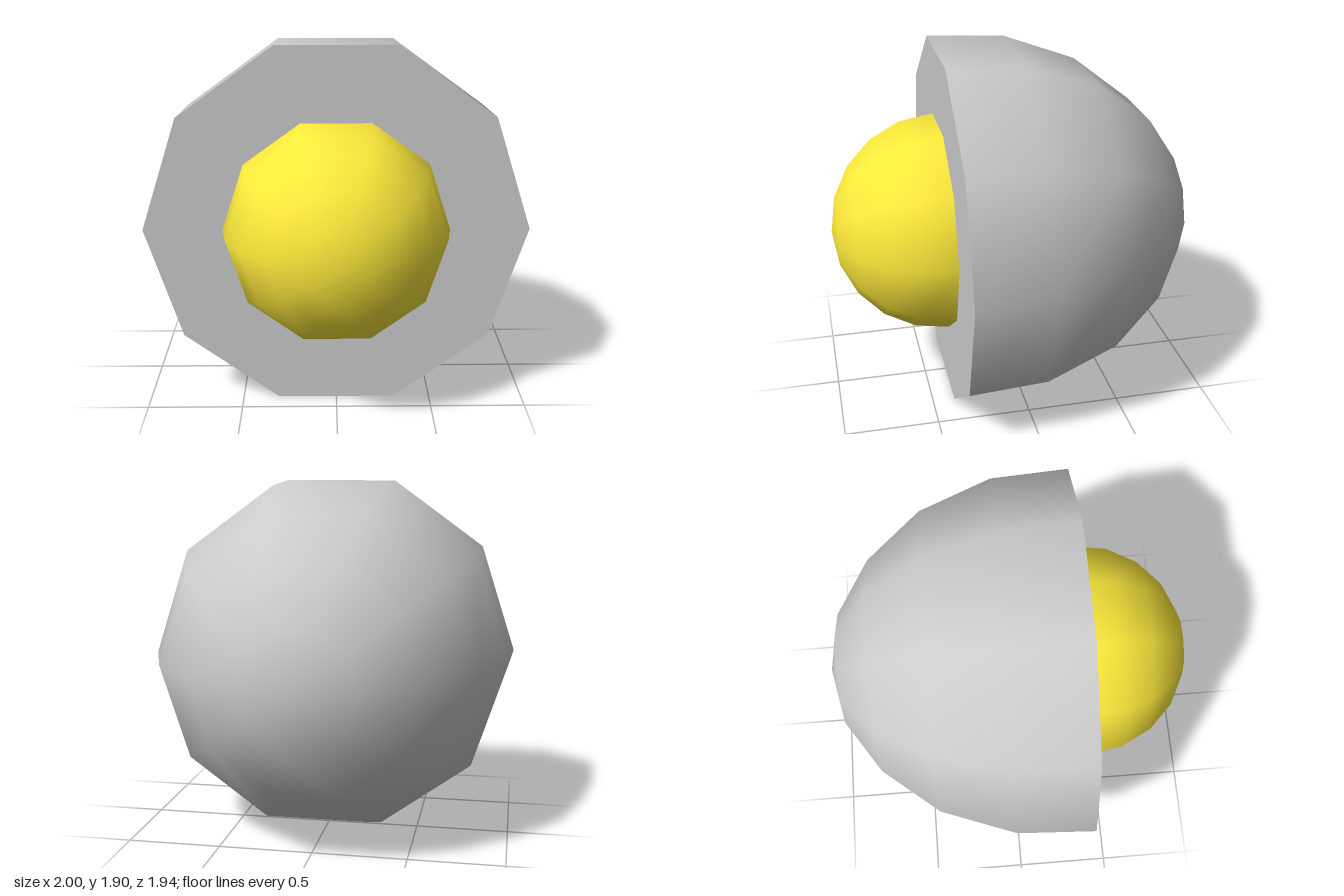
import * as THREE from 'three';

const SIDES = 10;
const RIM_Z = 0.382;
const CENTRE_Y = 0.951;

export function createModel() {
  const group = new THREE.Group();
  const grey = new THREE.MeshStandardMaterial({ color: 0xcccccc });
  const yellow = new THREE.MeshStandardMaterial({ color: 0xffeb3b });

  const add = (name, geometry, material, z) => {
    const mesh = new THREE.Mesh(geometry, material);
    mesh.name = name;
    mesh.position.set(0, CENTRE_Y, z);
    group.add(mesh);
  };

  // Rounded housing: [radius, z] from the back pole to the front rim
  const profile = [
    [0, -0.97], [0.309, -0.905], [0.592, -0.717],
    [0.833, -0.42], [0.978, -0.03], [1, RIM_Z],
  ].map(([r, z]) => new THREE.Vector2(r, z));
  const shell = new THREE.LatheGeometry(profile, SIDES, Math.PI / 2);
  // Smooth the pole by pointing its normals along the axis
  for (let i = 0; i <= SIDES; i++) {
    shell.attributes.normal.setXYZ(i * profile.length, 0, -1, 0);
  }
  shell.rotateX(Math.PI / 2);
  add('housing', shell, grey, 0);

  // Flat front face of the housing
  add('frontFace', new THREE.CircleGeometry(1, SIDES), grey, RIM_Z);

  // Domed lens, half a sphere with its pole to the front
  const lens = new THREE.SphereGeometry(0.588, SIDES, 5, 0, Math.PI * 2, 0, Math.PI / 2);
  lens.rotateX(Math.PI / 2);
  add('lens', lens, yellow, RIM_Z);

  return group;
}
